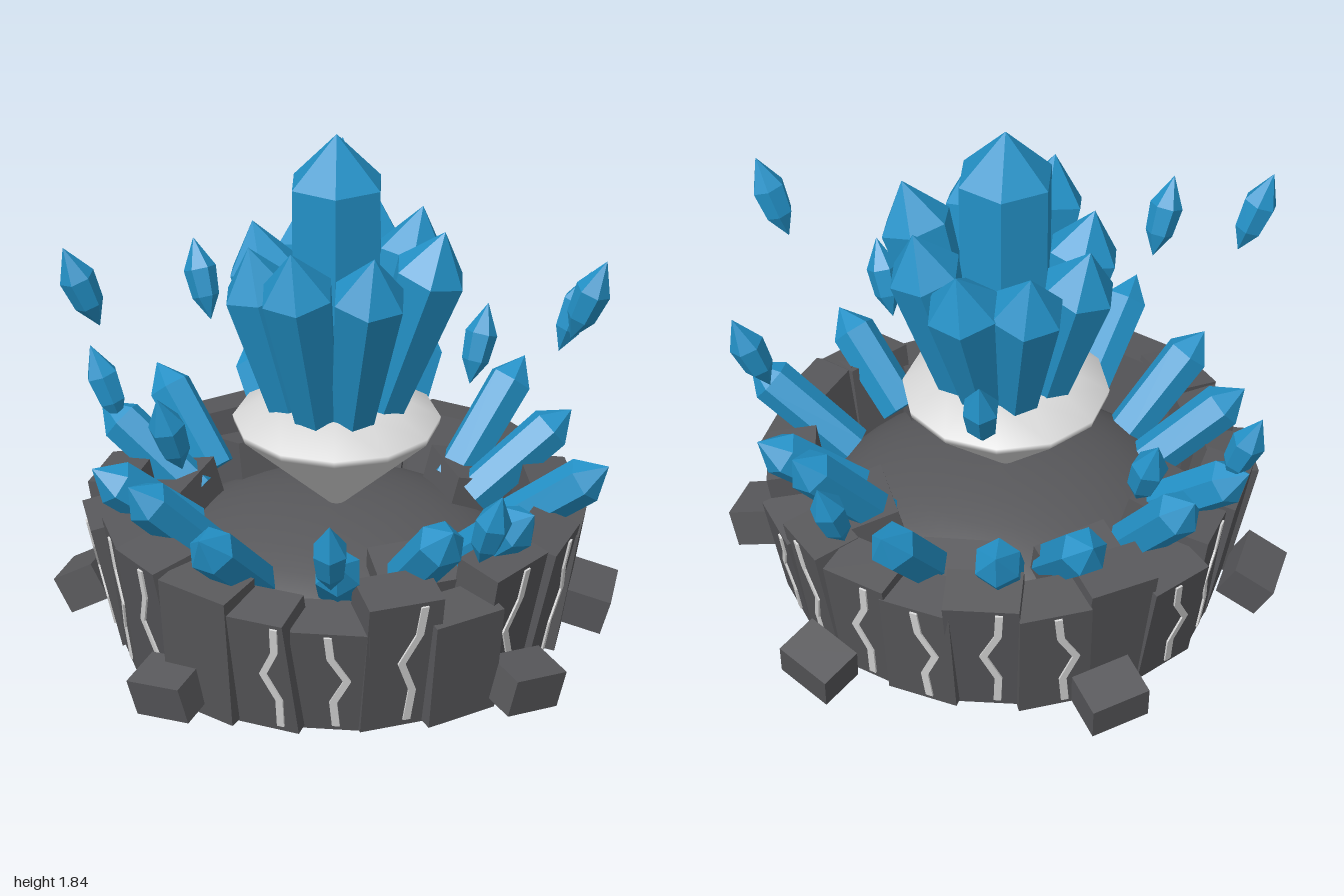
import * as THREE from 'three';

const mat = (name, color) => {
  const m = new THREE.MeshStandardMaterial({ color });
  m.name = name;
  return m;
};

export function createModel() {
  const blue = mat('crystalBlue', 0x2391c7);
  const rock = mat('darkRock', 0x58585b);
  const pale = mat('paleStone', 0xd8d8d8);
  const model = new THREE.Group();
  model.name = 'crystalShrine';

  // Seeded jitter in -a..a
  let seed = 7;
  const jitter = a => {
    seed = (seed * 16807) % 2147483647;
    return (seed / 2147483647 * 2 - 1) * a;
  };
  const add = (parent, name, geo, material) => {
    const m = new THREE.Mesh(geo, material);
    m.name = name;
    parent.add(m);
    return m;
  };
  const polar = (r, a, y) => new THREE.Vector3(Math.sin(a) * r, y, Math.cos(a) * r);
  const lathe = (pts, n) => new THREE.LatheGeometry(pts.map(p => new THREE.Vector2(...p)), n);
  const faceted = pts => {
    const g = lathe(pts, 6).toNonIndexed();
    g.computeVertexNormals();
    return g;
  };
  const UP = new THREE.Vector3(0, 1, 0);

  // Six-sided crystal running from a base point to its tip
  function crystal(name, from, to, r0, r1, tip) {
    const dir = to.clone().sub(from);
    const len = dir.length();
    const m = add(model, name, faceted([[0, 0], [r0, 0], [r1, len - tip], [0, len]]), blue);
    m.position.copy(from);
    m.quaternion.setFromUnitVectors(UP, dir.normalize());
  }

  // Domed floor, hollow underneath
  const under = [], over = [];
  for (let i = 0; i <= 10; i++) {
    const t = i / 10 * Math.PI / 2;
    under.push([0.71 * Math.sin(t), 0.1 + 0.36 * Math.cos(t)]);
    over.unshift([0.73 * Math.sin(t), 0.12 + 0.37 * Math.cos(t)]);
  }
  add(model, 'floorDome', lathe([...under, ...over], 40), rock);

  // Zigzag crack as a thin plate
  function crackGeometry(h, flip) {
    const path = [[0.03, 0.47], [0.02, 0.25], [-0.035, 0.03], [0.01, -0.2], [0, -0.45]];
    const w = 0.013;
    const left = path.map(([x, y]) => new THREE.Vector2(x * flip - w, y * h));
    const right = path.map(([x, y]) => new THREE.Vector2(x * flip + w, y * h)).reverse();
    return new THREE.ExtrudeGeometry(new THREE.Shape([...left, ...right]), { depth: 0.008, bevelEnabled: false });
  }

  // Ring of outward-leaning wall blocks, counted from the front towards the left
  const DEPTH = 0.17;
  const heights = [0.42, 0.52, 0.41, 0.52, 0.52, 0.47, 0.52, 0.43, 0.5, 0.5, 0.46,
    0.52, 0.48, 0.53, 0.46, 0.5, 0.52, 0.47, 0.5, 0.52, 0.5, 0.46];
  const plain = [2, 5, 6, 13, 16, 20];
  heights.forEach((h, i) => {
    const a = i / heights.length * Math.PI * 2;
    const block = new THREE.Group();
    block.name = 'wallBlock';
    block.position.copy(polar(0.73 + jitter(0.02), a, 0.035 + h / 2));
    block.rotation.set(0.16 + jitter(0.05), a + jitter(0.12), jitter(0.04), 'YXZ');
    model.add(block);
    add(block, 'blockStone', new THREE.BoxGeometry(0.25 + jitter(0.02), h, DEPTH), rock);
    if (!plain.includes(i)) {
      const crack = add(block, 'crack', crackGeometry(h, i % 2 ? 1 : -1), pale);
      crack.position.set(0.02 + jitter(0.04), 0, DEPTH / 2 - 0.001);
    }
  });

  // Loose rubble outside the wall: x, y, z, yaw, pitch, roll
  [
    [0.89, 0.14, 0.04, 1.4, 0.25, 0.1], [0.64, 0.12, 0.59, 0.6, 0.15, -0.15],
    [-0.54, 0.12, 0.66, -0.5, 0.2, 0.15], [-0.89, 0.11, -0.1, -1.75, 0.5, 0.1],
    [-0.42, 0.12, -0.78, -2.6, 0.2, 0.1], [0.58, 0.12, -0.7, 2.5, 0.2, -0.2],
  ].forEach(([x, y, z, yaw, pitch, roll]) => {
    const m = add(model, 'rubble', new THREE.BoxGeometry(0.21, 0.14, 0.16), rock);
    m.position.set(x, y, z);
    m.rotation.set(pitch, yaw, roll, 'YXZ');
  });

  // Slabs lying on the floor inside the wall
  [[-0.3, -0.49], [-0.57, -0.15], [0.46, -0.27], [0.27, 0.44], [0.1, -0.57]].forEach(([x, z]) => {
    const m = add(model, 'innerSlab', new THREE.BoxGeometry(0.27, 0.2, 0.22), rock);
    m.position.set(x, 0.4, z);
    m.rotation.set(0.25, Math.atan2(x, z) + jitter(0.3), jitter(0.12), 'YXZ');
  });

  // Pale pedestal balanced on its point
  add(model, 'pedestal', lathe([[0, 0.46], [0.355, 0.79], [0.36, 0.815], [0.22, 0.89], [0, 0.895]], 12), pale);

  // Central cluster: one tall pillar and eight leaning crystals (tip x, y, z)
  crystal('centralCrystal', new THREE.Vector3(0, 0.86, 0), new THREE.Vector3(0, 1.84, 0), 0.168, 0.168, 0.17);
  [
    [0.13, 1.54, 0.35], [0.36, 1.55, 0.13], [0.29, 1.53, -0.16], [0.13, 1.5, -0.35],
    [-0.11, 1.5, -0.34], [-0.29, 1.48, -0.14], [-0.29, 1.48, 0.11], [-0.14, 1.55, 0.34],
  ].forEach(([x, y, z]) => {
    const base = polar(0.165, Math.atan2(x, z), 0.87);
    crystal('leaningCrystal', base, new THREE.Vector3(x, y, z), 0.08, 0.128, 0.16);
  });

  // Crystals sprouting over the wall: base x, z, tip x, y, z
  [
    [-0.04, -0.54, -0.04, 0.75, -0.84], [-0.2, -0.47, -0.35, 0.76, -0.77],
    [0.2, -0.54, 0.33, 0.8, -0.83], [-0.45, -0.35, -0.67, 0.77, -0.53],
    [0.41, -0.28, 0.67, 0.83, -0.49], [-0.5, -0.16, -0.85, 0.72, -0.3],
    [0.48, -0.16, 0.83, 0.72, -0.27], [-0.5, 0.11, -0.83, 0.7, 0.2],
    [0.56, 0.09, 0.93, 0.72, 0.18], [-0.42, 0.28, -0.68, 0.76, 0.45],
    [0.41, 0.33, 0.66, 0.72, 0.54], [-0.26, 0.49, -0.42, 0.75, 0.8],
    [0.02, 0.51, 0.02, 0.66, 0.79], [0.23, 0.48, 0.39, 0.77, 0.76],
  ].forEach(([bx, bz, x, y, z]) => {
    crystal('rimCrystal', new THREE.Vector3(bx, 0.43, bz), new THREE.Vector3(x, y, z), 0.078, 0.082, 0.1);
  });

  // Ten shards floating in a circle, tilted outwards
  const shard = faceted([[0, -0.155], [0.05, -0.065], [0.06, 0.04], [0, 0.155]]);
  [0.73, 0.75, 1.37, 1.1, 0.78, 1.36, 1.03, 0.8, 1.4, 1.08].forEach((y, i) => {
    const m = add(model, 'floatingShard', shard, blue);
    const a = i / 10 * Math.PI * 2;
    m.position.copy(polar(0.87, a, y));
    m.rotation.set(0.37, a, 0, 'YXZ');
  });

  return model;
}
